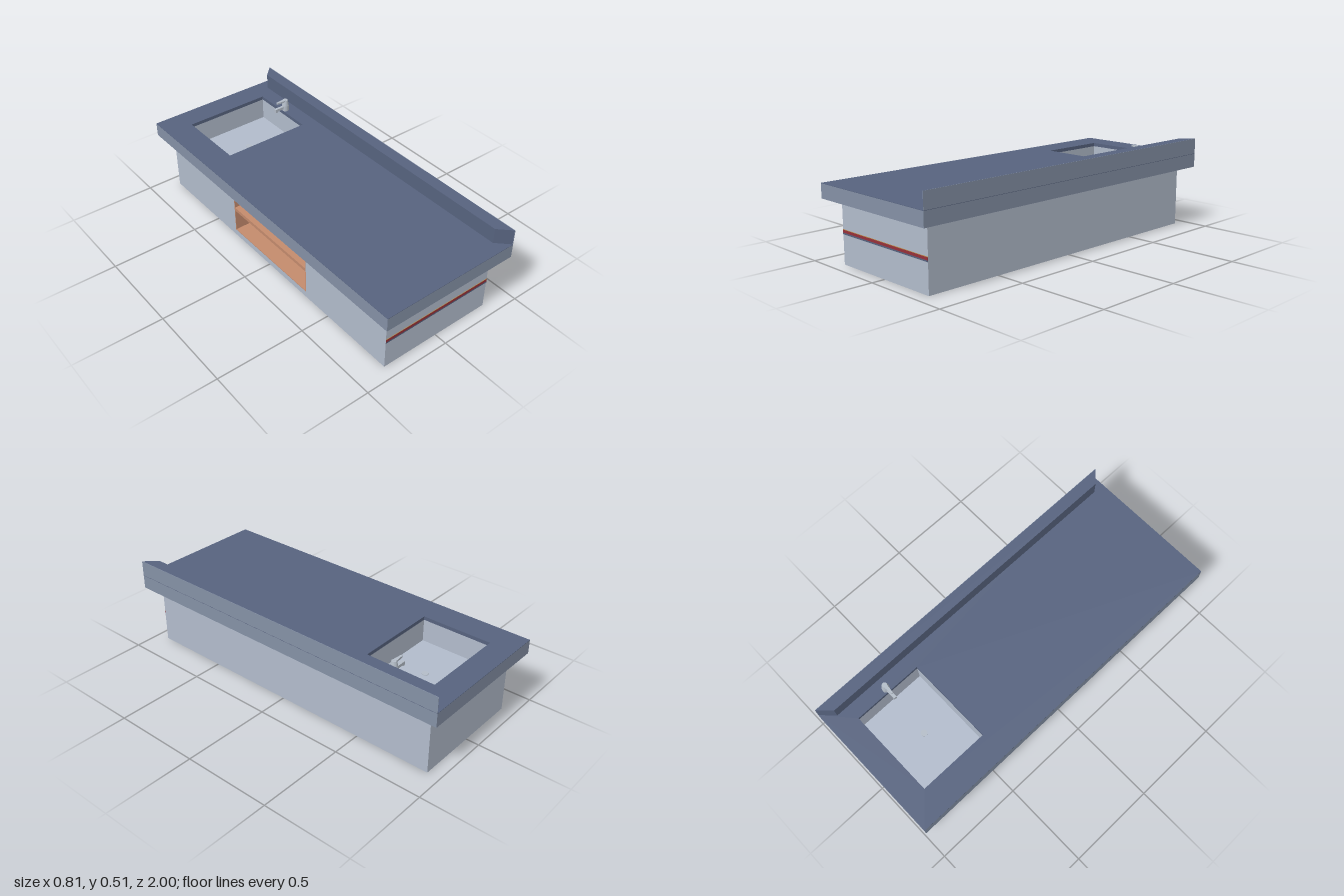
import * as THREE from 'three';

const mat = (name, color, extra = {}) => {
  const m = new THREE.MeshStandardMaterial({ color, ...extra });
  m.name = name;
  return m;
};

export function createModel() {
  const model = new THREE.Group();
  model.name = 'kitchenIsland';
  const panel = mat('pale grey panel', 0xb2bccc);
  const trim = mat('slate trim', 0x8591a6);
  const navy = mat('navy worktop', 0x57637f);
  const wood = mat('warm wood', 0xc48b6d);
  const red = mat('red stripe', 0x97303a);
  const gold = mat('gold stripe', 0xb98a4a);
  const steel = mat('light steel', 0xb4bdc8);

  const add = (name, geo, material, parent = model) => {
    const m = new THREE.Mesh(geo, material);
    m.name = name;
    parent.add(m);
    return m;
  };
  // box given by its minimum and maximum on each axis
  const box = (name, x0, x1, y0, y1, z0, z1, material, parent) => {
    const m = add(name, new THREE.BoxGeometry(x1 - x0, y1 - y0, z1 - z0), material, parent);
    m.position.set((x0 + x1) / 2, (y0 + y1) / 2, (z0 + z1) / 2);
    return m;
  };
  const poly = pts => pts.map(([x, y]) => new THREE.Vector2(x, y));
  const rect = (x0, x1, y0, y1) => poly([[x0, y0], [x1, y0], [x1, y1], [x0, y1]]);
  // plan outline (x, -z) raised from y0 to y1
  const raise = (outline, hole, y0, y1) => {
    const s = new THREE.Shape(outline);
    if (hole) s.holes.push(new THREE.Path(hole));
    const g = new THREE.ExtrudeGeometry(s, { depth: y1 - y0, bevelEnabled: false });
    return g.rotateX(-Math.PI / 2).translate(0, y0, 0);
  };

  // cabinet: hollow body of panels, open to the shelves on the -x side
  const W = 0.336, L = 0.928, H = 0.341, T = 0.012;
  const cabinet = new THREE.Group();
  cabinet.name = 'cabinet';
  model.add(cabinet);
  box('cabinetBase', -W + T, W - T, 0, T, -L + T, L - T, panel, cabinet);
  box('rightPanel', W - T, W, 0, H, -L, L, panel, cabinet);
  for (const s of [-1, 1]) {
    const z = s * (L - T / 2);
    box('endPanel', -W + T, W - T, 0, H, z - T / 2, z + T / 2, panel, cabinet);
  }
  const Z = 0.32, Y0 = 0.035, Y1 = 0.325;
  const side = new THREE.Shape(rect(-L, L, 0, H));
  side.holes.push(new THREE.Path(rect(-Z, Z, Y0, Y1)));
  const sideGeo = new THREE.ExtrudeGeometry(side, { depth: T, bevelEnabled: false });
  add('shelfSidePanel', sideGeo.rotateY(-Math.PI / 2).translate(-W + T, 0, 0), panel, cabinet);

  // wooden shelf recess
  const shelves = new THREE.Group();
  shelves.name = 'shelfRecess';
  model.add(shelves);
  const B = 0.2, t = 0.004;
  box('recessBack', B, B + t, Y0, Y1, -Z, Z, wood, shelves);
  box('recessFloor', -W, B, Y0, Y0 + t, -Z, Z, wood, shelves);
  box('recessCeiling', -W, B, Y1 - t, Y1, -Z, Z, wood, shelves);
  box('recessSide', -W, B, Y0 + t, Y1 - t, -Z, -Z + t, wood, shelves);
  box('recessSide', -W, B, Y0 + t, Y1 - t, Z - t, Z, wood, shelves);
  box('shelf', -W, B, 0.172, 0.192, -Z + t, Z - t, wood, shelves);

  // painted stripes on the front end
  for (const [name, a, b, m] of [['goldStripe', 0.182, 0.1845, gold],
    ['redStripe', 0.167, 0.182, red], ['blueStripe', 0.159, 0.167, navy]]) {
    box(name, -W, W, a, b, L, L + 0.002, m);
  }

  // worktop with a sink cut-out
  const X = 0.404, top = 0.42;
  const sx = 0.25, sz0 = 0.468, sz1 = 0.864, r = 0.004;
  const outline = rect(-X, X, -1, 1);
  const cut = rect(-sx - r, sx + r, sz0 - r, sz1 + r);
  const opening = rect(-sx, sx, sz0, sz1);
  add('worktopEdge', raise(outline, cut, H, top - 0.002), trim);
  add('worktopSurface', raise(outline, opening, top - 0.002, top), navy);
  add('sinkRim', raise(cut, opening, 0.4, top - 0.002), navy);

  // splashback with mitred ends and a slate outer face
  const xi = 0.336, yTop = 0.507, e = 0.002;
  add('splashback', raise(poly([[xi, -0.932], [X - e, -1 + e], [X - e, 1 - e], [xi, 0.932]]),
    null, top, yTop), navy);
  box('splashbackOuterFace', X - e, X, top, yTop, -1, 1, trim);

  // sink basin and drain
  const sink = new THREE.Group();
  sink.name = 'sink';
  model.add(sink);
  const floorY = 0.275;
  add('basinWalls', raise(cut, opening, floorY, 0.4), panel, sink);
  box('basinFloor', -sx - r, sx + r, floorY - 0.006, floorY, -sz1 - r, -sz0 + r, panel, sink);
  const drain = add('drain', new THREE.CylinderGeometry(0.018, 0.018, 0.003, 16), steel, sink);
  drain.position.set(0, floorY + 0.0015, -0.66);

  // tap: tapered body, spout with a turned-down end, lever
  const tap = new THREE.Group();
  tap.name = 'tap';
  tap.position.set(0.271, top, -0.66);
  model.add(tap);
  const profile = poly([[0.0205, 0], [0.0205, 0.032], [0.014, 0.067], [0, 0.067]]);
  add('tapBody', new THREE.LatheGeometry(profile, 16).toNonIndexed(), steel, tap)
    .geometry.computeVertexNormals();
  const spout = new THREE.Shape(poly([[-0.076, 0.007], [-0.062, 0.007], [-0.062, 0.013],
    [-0.01, 0.013], [-0.01, 0.029], [-0.076, 0.029]]));
  add('spout', new THREE.ExtrudeGeometry(spout, { depth: 0.016, bevelEnabled: false })
    .translate(0, 0, -0.008), steel, tap);
  add('lever', raise(poly([[-0.06, -0.005], [0, -0.011], [0, 0.011], [-0.06, 0.005]]),
    null, 0.058, 0.068), steel, tap);

  return model;
}
